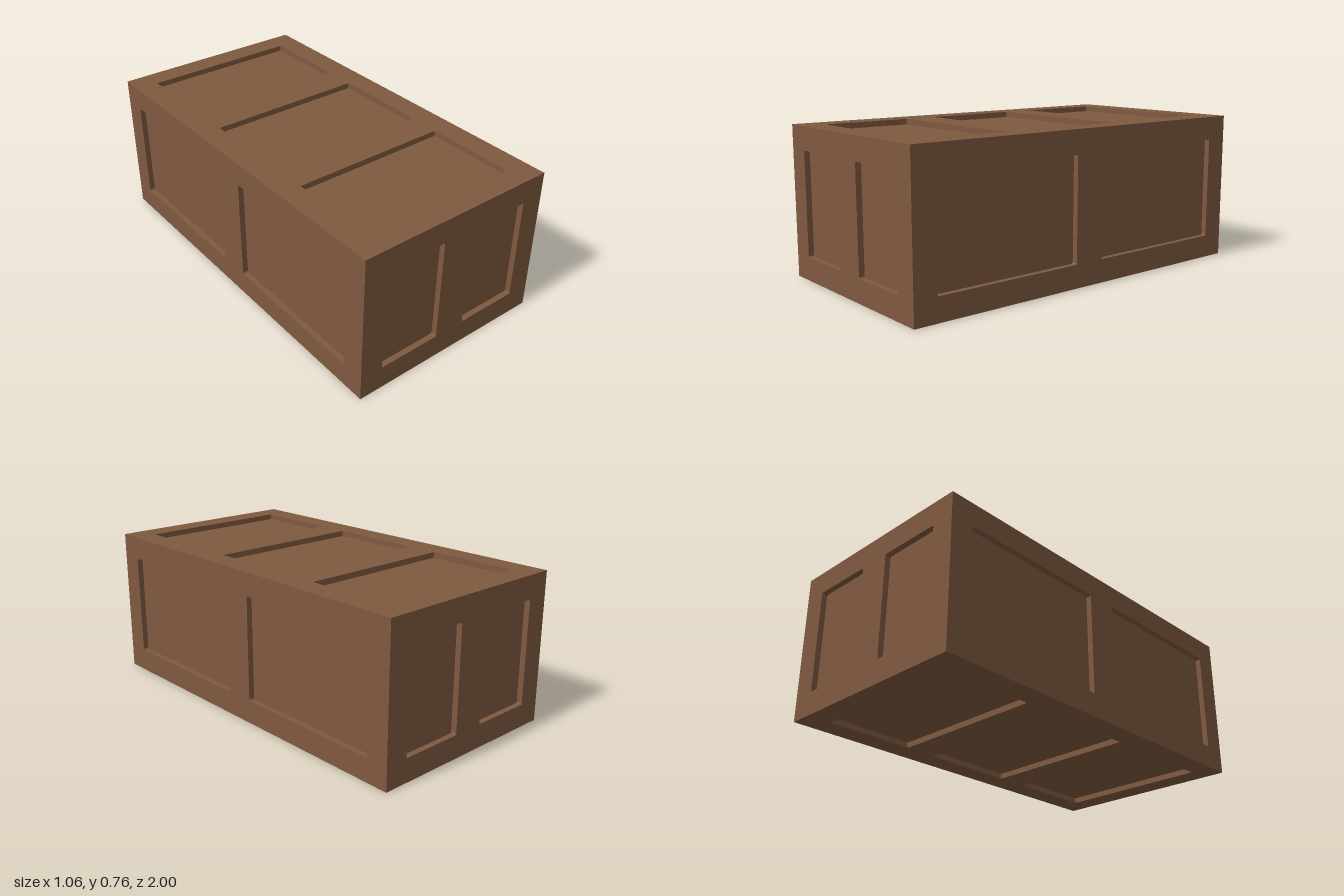
import * as THREE from 'three';
import { mergeGeometries } from 'three/addons/utils/BufferGeometryUtils.js';

const W = 1.059, H = 0.765, L = 2;   // overall size
const DEPTH = 0.029;                 // recess depth of the panels
const RIM = 0.118, CUT = 0.006;      // frame width, tiny corner cut

const wood = new THREE.MeshStandardMaterial({ color: 0x7f5a40 });

// Rectangle outline with clipped corners, counter-clockwise
function outline([x0, x1, y0, y1]) {
  const c = CUT;
  return [
    [x0 + c, y0], [x1 - c, y0], [x1, y0 + c], [x1, y1 - c],
    [x1 - c, y1], [x0 + c, y1], [x0, y1 - c], [x0, y0 + c],
  ].map(([x, y]) => new THREE.Vector2(x, y));
}

// Walls of a recess, facing its middle
function recessWalls(points) {
  const pos = [];
  points.forEach((a, i) => {
    const b = points[(i + 1) % points.length];
    pos.push(a.x, a.y, 0, b.x, b.y, 0, a.x, a.y, -DEPTH);
    pos.push(b.x, b.y, 0, b.x, b.y, -DEPTH, a.x, a.y, -DEPTH);
  });
  const geo = new THREE.BufferGeometry();
  geo.setAttribute('position', new THREE.Float32BufferAttribute(pos, 3));
  geo.computeVertexNormals();
  return geo;
}

// One side of the box: a frame with openings and sunken panels, facing +z
function panelledSide(name, w, h, rects) {
  const side = new THREE.Group();
  side.name = name;
  const frame = new THREE.Shape([
    new THREE.Vector2(-w / 2, -h / 2), new THREE.Vector2(w / 2, -h / 2),
    new THREE.Vector2(w / 2, h / 2), new THREE.Vector2(-w / 2, h / 2),
  ]);
  const openings = rects.map(outline);
  frame.holes = openings.map((pts) => new THREE.Path([...pts].reverse()));
  const frameMesh = new THREE.Mesh(new THREE.ShapeGeometry(frame), wood);
  frameMesh.name = name + 'Frame';
  side.add(frameMesh);

  openings.forEach((pts, i) => {
    const floor = new THREE.ShapeGeometry(new THREE.Shape(pts)).toNonIndexed();
    floor.deleteAttribute('uv');
    floor.translate(0, 0, -DEPTH);
    const panel = new THREE.Mesh(mergeGeometries([floor, recessWalls(pts)]), wood);
    panel.name = name + 'Panel' + (i + 1);
    side.add(panel);
  });
  return side;
}

// Two panels side by side, mirrored about the middle
function pairOfPanels(w, h) {
  const inner = 0.083, outer = w / 2 - RIM, y = h / 2 - RIM;
  return [[-outer, -inner, -y, y], [inner, outer, -y, y]];
}

export function createModel() {
  const chest = new THREE.Group();
  chest.name = 'panelledChest';

  // Ends and long sides
  const walls = [
    ['front', W, L / 2, 0], ['left', L, W / 2, Math.PI / 2],
    ['back', W, L / 2, Math.PI], ['right', L, W / 2, -Math.PI / 2],
  ];
  for (const [name, w, dist, turn] of walls) {
    const side = panelledSide(name, w, H, pairOfPanels(w, H));
    side.rotation.y = turn;
    side.position.set(Math.sin(turn) * dist, H / 2, Math.cos(turn) * dist);
    chest.add(side);
  }

  // Lid and base with three panels each
  const x = W / 2 - RIM, z = L / 2 - RIM;
  const three = [[-x, x, -z, -0.416], [-x, x, -0.251, 0.251], [-x, x, 0.416, z]];
  for (const [name, y, tilt] of [['lid', H, -Math.PI / 2], ['base', 0, Math.PI / 2]]) {
    const side = panelledSide(name, W, L, three);
    side.rotation.x = tilt;
    side.position.y = y;
    chest.add(side);
  }
  return chest;
}
